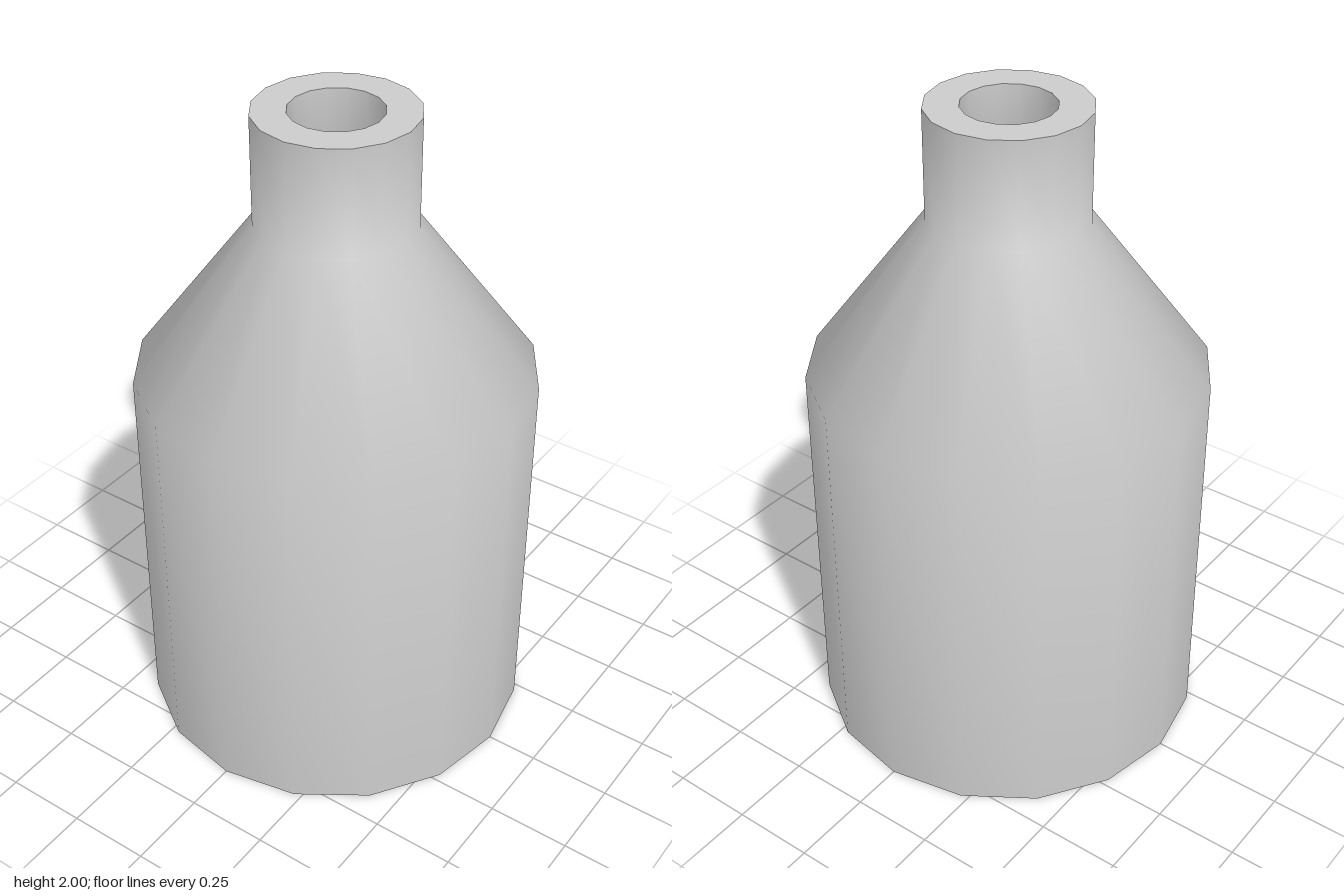
import * as THREE from 'three';

const SIDES = 16;
const material = new THREE.MeshStandardMaterial({ color: 0xcccccc });

// Spins a profile of [radius, height] pairs; each part is smooth, with sharp edges between parts.
function turned(name, profile) {
  const points = profile.map(([r, y]) => new THREE.Vector2(r, y));
  const mesh = new THREE.Mesh(new THREE.LatheGeometry(points, SIDES), material);
  mesh.name = name;
  return mesh;
}

export function createModel() {
  const group = new THREE.Group();
  group.name = 'bottle';

  const body = 0.593, neck = 0.235, bore = 0.135;
  const shoulderY = 1.19, neckY = 1.67, topY = 2;
  const wall = neck - bore;

  group.add(
    // Outside: underside, then body, shoulder and neck in one smooth skin
    turned('base', [[0, 0], [body, 0]]),
    turned('outerWall', [[body, 0], [body, shoulderY], [neck, neckY], [neck, topY]]),
    // Flat ring round the mouth
    turned('rim', [[neck, topY], [bore, topY]]),
    // Inside: a hollow of even wall thickness, closed by a floor
    turned('innerWall', [
      [bore, topY], [bore, neckY - 0.05], [body - wall, shoulderY - 0.05], [body - wall, wall],
    ]),
    turned('innerFloor', [[body - wall, wall], [0, wall]]),
  );
  return group;
}
